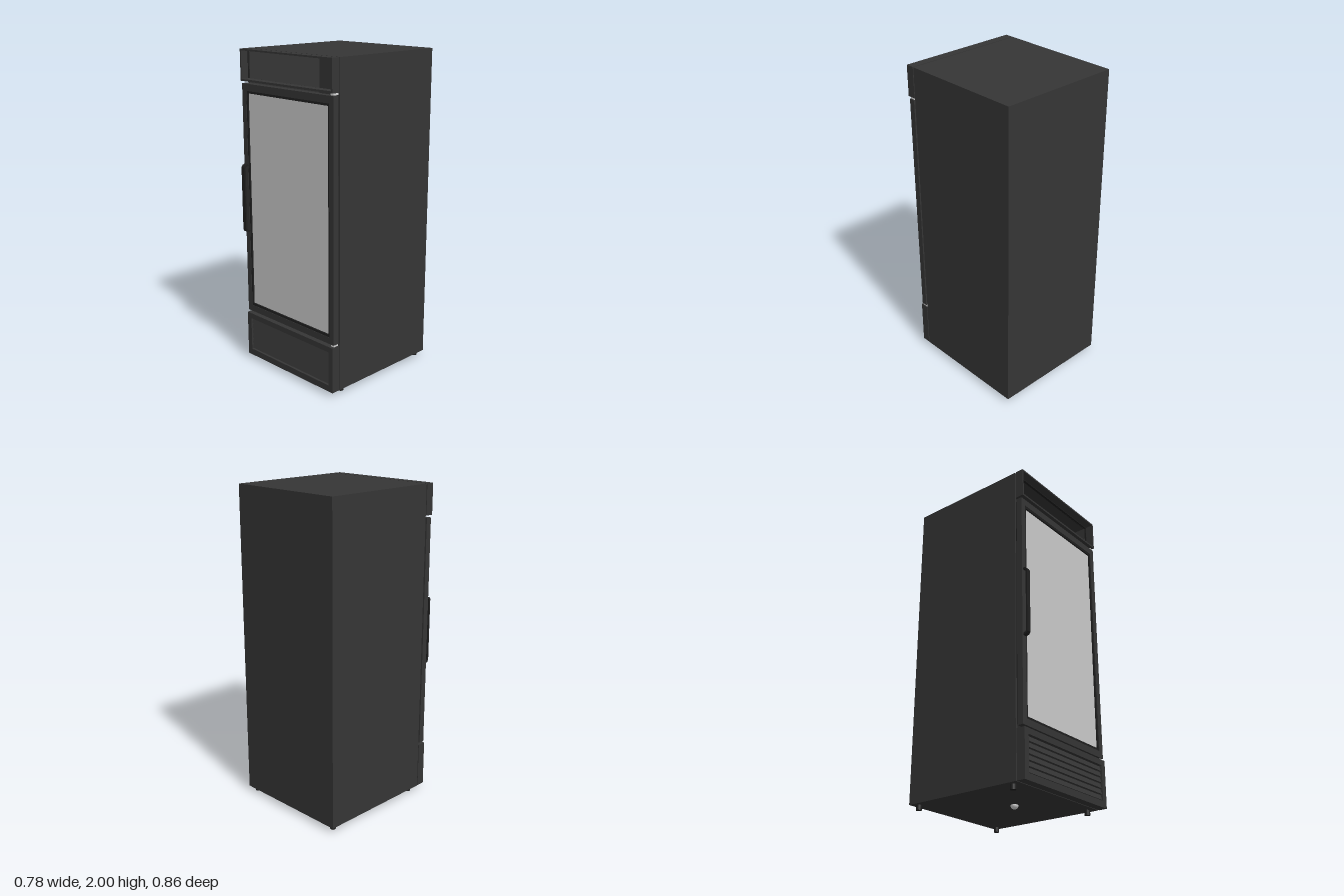
import * as THREE from 'three';

const mat = (name, color) => {
  const m = new THREE.MeshStandardMaterial({ color });
  m.name = name;
  return m;
};

export function createModel() {
  const root = new THREE.Group();
  root.name = 'displayFridge';
  const body = mat('charcoal', 0x353535);
  const trim = mat('black trim', 0x1f1f1f);
  const glass = mat('pale glass', 0xcacaca);
  const metal = mat('light metal', 0xd8d8d8);

  const add = (name, geo, m, x = 0, y = 0, z = 0, parent = root) => {
    const mesh = new THREE.Mesh(geo, m);
    mesh.name = name;
    mesh.position.set(x, y, z);
    parent.add(mesh);
    return mesh;
  };
  // Box given by its lower and upper limits on each axis
  const box = (name, m, x0, x1, y0, y1, z0, z1, parent = root) =>
    add(name, new THREE.BoxGeometry(x1 - x0, y1 - y0, z1 - z0), m,
      (x0 + x1) / 2, (y0 + y1) / 2, (z0 + z1) / 2, parent);
  // Rectangular frame with a rectangular opening; limits are [x0, x1, y0, y1]
  const frame = (name, m, o, i, z0, z1, parent = root) => {
    const loop = ([x0, x1, y0, y1]) =>
      [[x0, y0], [x1, y0], [x1, y1], [x0, y1]].map(p => new THREE.Vector2(...p));
    const shape = new THREE.Shape(loop(o));
    shape.holes.push(new THREE.Path(loop(i).reverse()));
    const geo = new THREE.ExtrudeGeometry(shape, { depth: z1 - z0, bevelEnabled: false });
    return add(name, geo, m, 0, 0, z0, parent);
  };

  // Cabinet shell, open at the front
  frame('cabinetShell', body, [-0.39, 0.39, 0.03, 2], [-0.375, 0.375, 0.05, 1.985], -0.42, 0.35);
  box('cabinetBack', body, -0.39, 0.39, 0.03, 2, -0.43, -0.42);

  // Recess behind the open header
  box('recessFloor', glass, -0.375, 0.375, 1.6, 1.61, -0.23, 0.34);
  box('recessBack', body, -0.375, 0.375, 1.6, 1.985, -0.24, -0.23);

  // Header surround
  frame('headerSurround', body, [-0.39, 0.39, 1.81, 2], [-0.38, 0.38, 1.822, 1.99], 0.356, 0.41);
  frame('headerSeal', trim, [-0.382, 0.382, 1.815, 1.995], [-0.376, 0.376, 1.82, 1.985], 0.345, 0.36);

  // Door
  const door = new THREE.Group();
  door.name = 'door';
  root.add(door);
  frame('doorGasket', trim, [-0.38, 0.38, 0.345, 1.785], [-0.34, 0.34, 0.4, 1.73], 0.35, 0.362, door);
  frame('doorFrame', body, [-0.39, 0.39, 0.335, 1.795], [-0.355, 0.355, 0.375, 1.752], 0.362, 0.4, door);
  frame('glassTrim', trim, [-0.355, 0.355, 0.375, 1.752], [-0.344, 0.344, 0.39, 1.738], 0.365, 0.397, door);
  box('glassPane', glass, -0.348, 0.348, 0.386, 1.742, 0.37, 0.388, door);

  // Bracket handle, profile in z and y, extruded across x
  const bar = new THREE.Shape([
    [0.398, 0.865], [0.422, 0.873], [0.43, 0.885], [0.43, 1.285], [0.422, 1.297], [0.398, 1.305],
    [0.398, 1.293], [0.416, 1.286], [0.42, 1.278], [0.42, 0.892], [0.416, 0.884], [0.398, 0.877],
  ].map(p => new THREE.Vector2(...p)));
  const handleGeo = new THREE.ExtrudeGeometry(bar, { depth: 0.028, bevelEnabled: false });
  handleGeo.rotateY(-Math.PI / 2);
  // Turn the profile so that it projects forward
  handleGeo.scale(1, 1, 1);
  add('doorHandle', handleGeo, trim, -0.355, 0, 0, door);

  // Hinges above and below the door
  for (const y of [0.327, 1.803]) {
    box('hingePlate', metal, 0.362, 0.386, y - 0.005, y + 0.005, 0.36, 0.395);
  }

  // Lower panel with louvred grille
  frame('lowerPanel', body, [-0.39, 0.39, 0.03, 0.32], [-0.355, 0.355, 0.07, 0.285], 0.356, 0.41);
  box('grilleBacking', trim, -0.375, 0.375, 0.04, 0.315, 0.345, 0.375);
  for (let i = 0; i < 6; i++) {
    const slat = add('grilleSlat', new THREE.BoxGeometry(0.71, 0.031, 0.008), body,
      0, 0.09 + i * 0.035, 0.395);
    slat.rotation.x = -0.3;
  }

  // Feet
  for (const x of [-0.35, 0.35]) {
    for (const z of [0.3, -0.39]) {
      add('foot', new THREE.CylinderGeometry(0.017, 0.017, 0.032, 16), trim, x, 0.016, z);
    }
  }

  // Drain outlet under the base
  add('drainOutlet', new THREE.SphereGeometry(0.024, 20, 14), metal, -0.01, 0.029, 0.04);

  return root;
}
